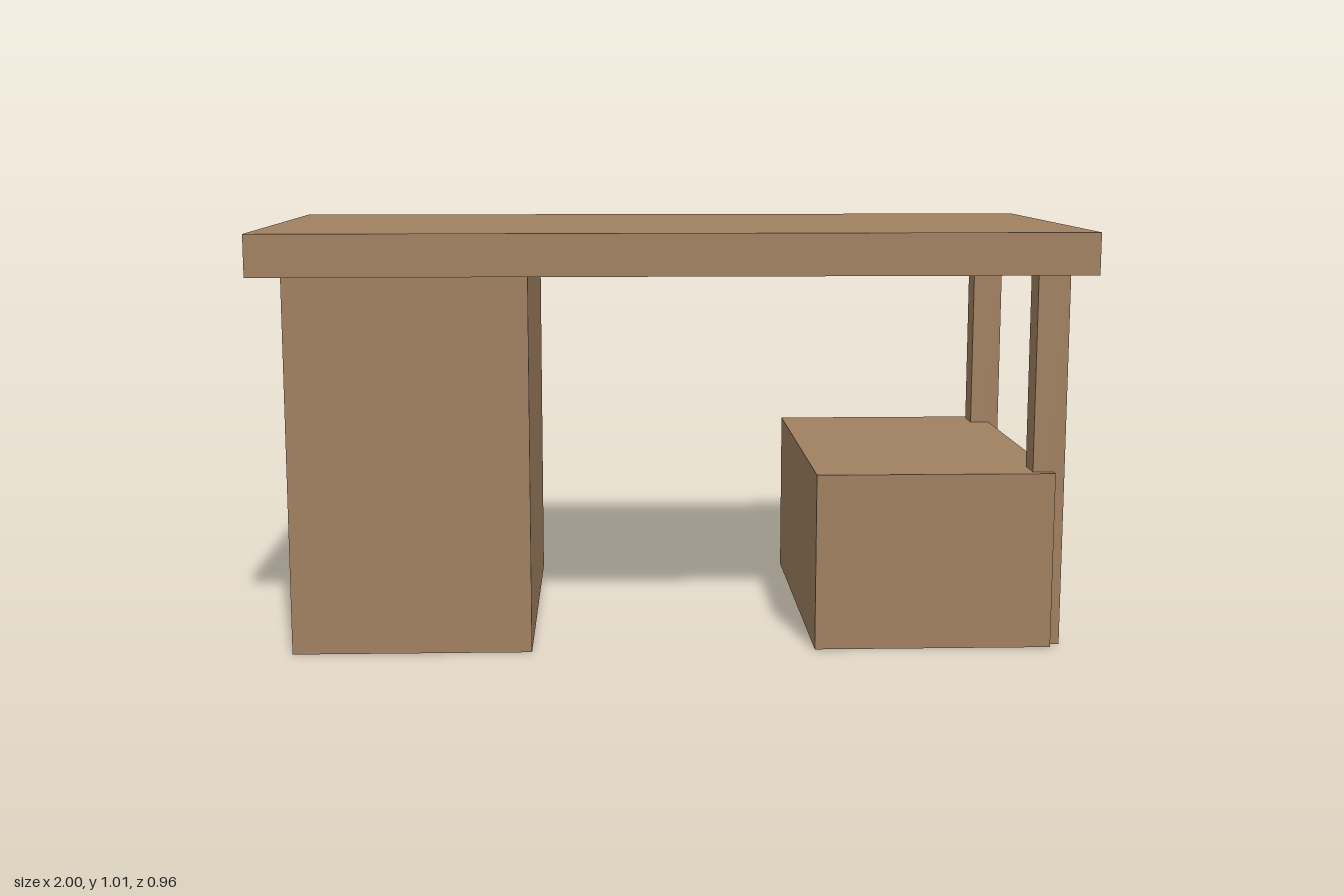
import * as THREE from 'three';

export function createModel() {
  const model = new THREE.Group();
  model.name = 'desk';
  const wood = new THREE.MeshStandardMaterial({ color: 0xa08060 });

  // Box given by its lower and upper limits on each axis
  function addBox(name, [x0, x1], [y0, y1], [z0, z1]) {
    const mesh = new THREE.Mesh(new THREE.BoxGeometry(x1 - x0, y1 - y0, z1 - z0), wood);
    mesh.name = name;
    mesh.position.set((x0 + x1) / 2, (y0 + y1) / 2, (z0 + z1) / 2);
    model.add(mesh);
  }

  const topY = 1.014, underside = 0.913, depth = [-0.442, 0.442];

  // Overhanging slab
  addBox('tabletop', [-1, 1], [underside, topY], [-0.481, 0.481]);

  // Full-height pedestal and low cabinet
  addBox('tallCabinet', [-0.923, -0.346], [0, underside], depth);
  addBox('lowCabinet', [0.342, 0.92], [0, 0.432], depth);

  // Posts rising through the outer side of the low cabinet
  addBox('frontLeg', [0.87, 0.947], [0, underside], [0.342, 0.418]);
  addBox('backLeg', [0.87, 0.947], [0, underside], [-0.418, -0.342]);

  return model;
}
